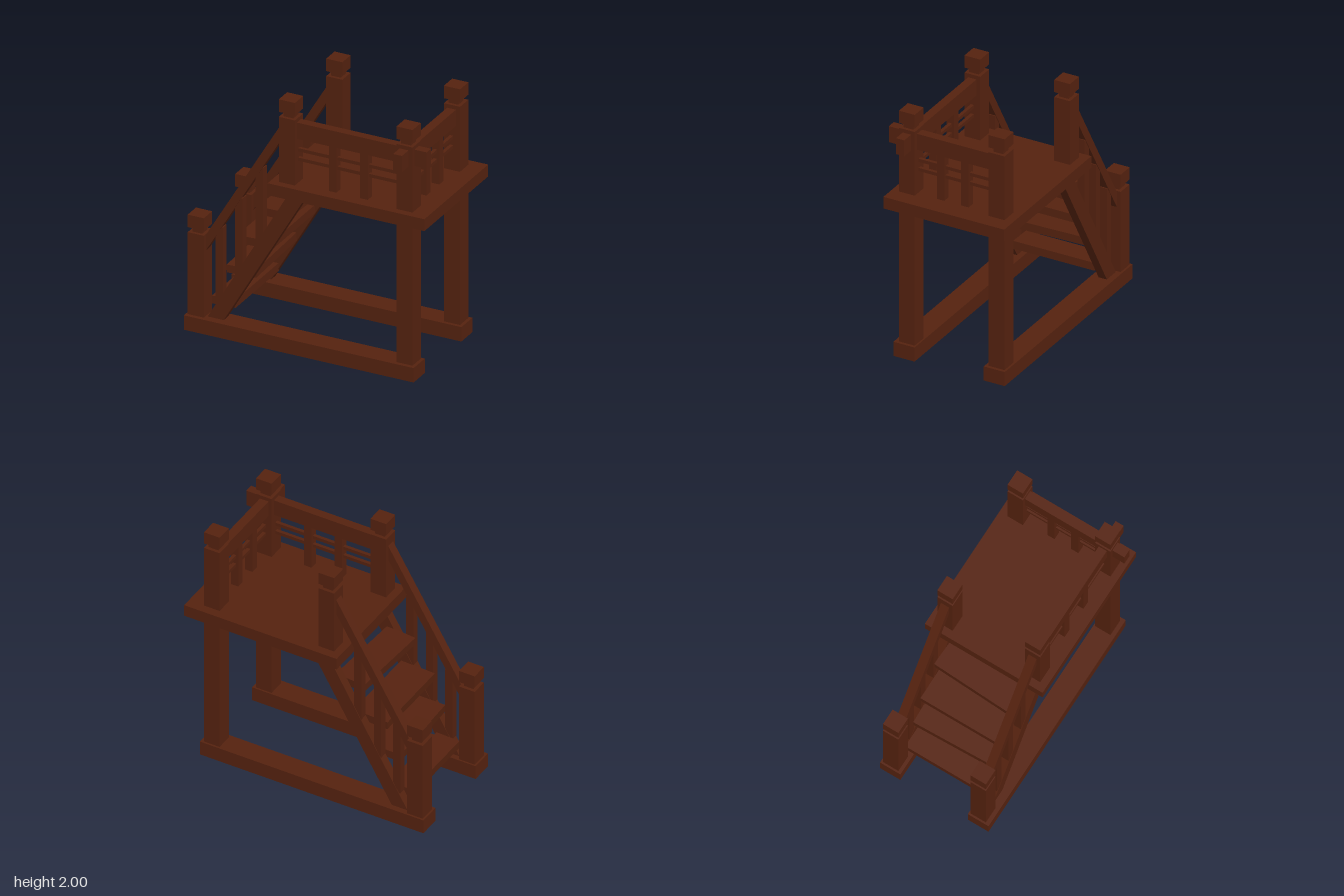
import * as THREE from 'three';

const wood = new THREE.MeshStandardMaterial({ color: 0x55220f });
wood.name = 'dark brown wood';

export function createModel() {
  const model = new THREE.Group();
  model.name = 'raisedPlatformWithStairs';

  // Box given by its extents along each axis
  const box = (name, [x0, x1], [y0, y1], [z0, z1], parent = model) => {
    const mesh = new THREE.Mesh(new THREE.BoxGeometry(x1 - x0, y1 - y0, z1 - z0), wood);
    mesh.position.set((x0 + x1) / 2, (y0 + y1) / 2, (z0 + z1) / 2);
    mesh.name = name;
    parent.add(mesh);
    return mesh;
  };

  // Sloping beam: a side outline in x and y, extruded across z
  const slopedBeam = (name, points, [z0, z1]) => {
    const shape = new THREE.Shape(points.map(([x, y]) => new THREE.Vector2(x, y)));
    const geometry = new THREE.ExtrudeGeometry(shape, { depth: z1 - z0, bevelEnabled: false });
    const mesh = new THREE.Mesh(geometry, wood);
    mesh.position.z = z0;
    mesh.name = name;
    model.add(mesh);
  };

  // Square post with a narrow neck and a block cap
  const post = (name, x, z, bottom, top) => {
    const group = new THREE.Group();
    group.name = name;
    const part = (label, half, y0, y1) =>
      box(label, [x - half, x + half], [y0, y1], [z - half, z + half], group);
    part('shaft', 0.065, bottom, top - 0.14);
    part('neck', 0.04, top - 0.14, top - 0.1);
    part('cap', 0.065, top - 0.1, top);
    model.add(group);
  };

  // Deck
  box('deck', [-0.29, 0.975], [1.245, 1.34], [-0.52, 0.475]);

  // Both long sides: ground beam, posts, stringer and sloping handrail
  for (const [side, z, beam] of [
    ['front', 0.353, [0.275, 0.45]],
    ['back', -0.387, [-0.468, -0.295]],
  ]) {
    box(side + 'GroundBeam', [-0.98, 0.875], [0, 0.115], beam);
    post(side + 'StairPost', -0.9, z, 0.115, 0.91);
    post(side + 'DeckPost', -0.165, z, 1.34, 2);
    post(side + 'TallPost', 0.785, z, 0.115, 2);
    const width = [z - 0.034, z + 0.034];
    slopedBeam(side + 'Stringer',
      [[-0.82, 0.115], [-0.69, 0.115], [-0.03, 1.245], [-0.165, 1.245]], width);
    slopedBeam(side + 'Handrail',
      [[-0.84, 0.63], [-0.225, 1.665], [-0.225, 1.79], [-0.84, 0.755]], width);
    [[-0.73, 0.24, 0.85], [-0.57, 0.5, 1.12], [-0.405, 0.78, 1.4]].forEach(([x, y0, y1]) =>
      box(side + 'StairBaluster', [x - 0.03, x + 0.03], [y0, y1], [z - 0.03, z + 0.03]));
  }

  // Treads, each set slightly askew
  for (const [x, y, depth, yaw] of [
    [-0.725, 0.225, 0.19, 0],
    [-0.592, 0.502, 0.235, 0.03],
    [-0.475, 0.757, 0.28, 0],
    [-0.32, 1.02, 0.24, -0.05],
  ]) {
    const tread = box('tread', [x - depth / 2, x + depth / 2], [y - 0.031, y + 0.031], [-0.353, 0.32]);
    tread.rotation.set(0, yaw, 0.035);
  }

  // Deck railings: top rail, two thin bars and two balusters on the front and far end
  box('frontTopRail', [-0.12, 0.948], [1.7, 1.83], [0.319, 0.387]);
  box('endTopRail', [0.746, 0.817], [1.7, 1.83], [-0.34, 0.52]);
  for (const y of [1.515, 1.59]) {
    box('frontThinBar', [-0.11, 0.73], [y, y + 0.026], [0.34, 0.366]);
    box('endThinBar', [0.768, 0.794], [y, y + 0.026], [-0.33, 0.3]);
  }
  for (const x of [0.187, 0.44])
    box('frontBaluster', [x - 0.031, x + 0.031], [1.34, 1.7], [0.322, 0.384]);
  for (const z of [0.097, -0.104])
    box('endBaluster', [0.75, 0.812], [1.34, 1.7], [z - 0.031, z + 0.031]);

  return model;
}
